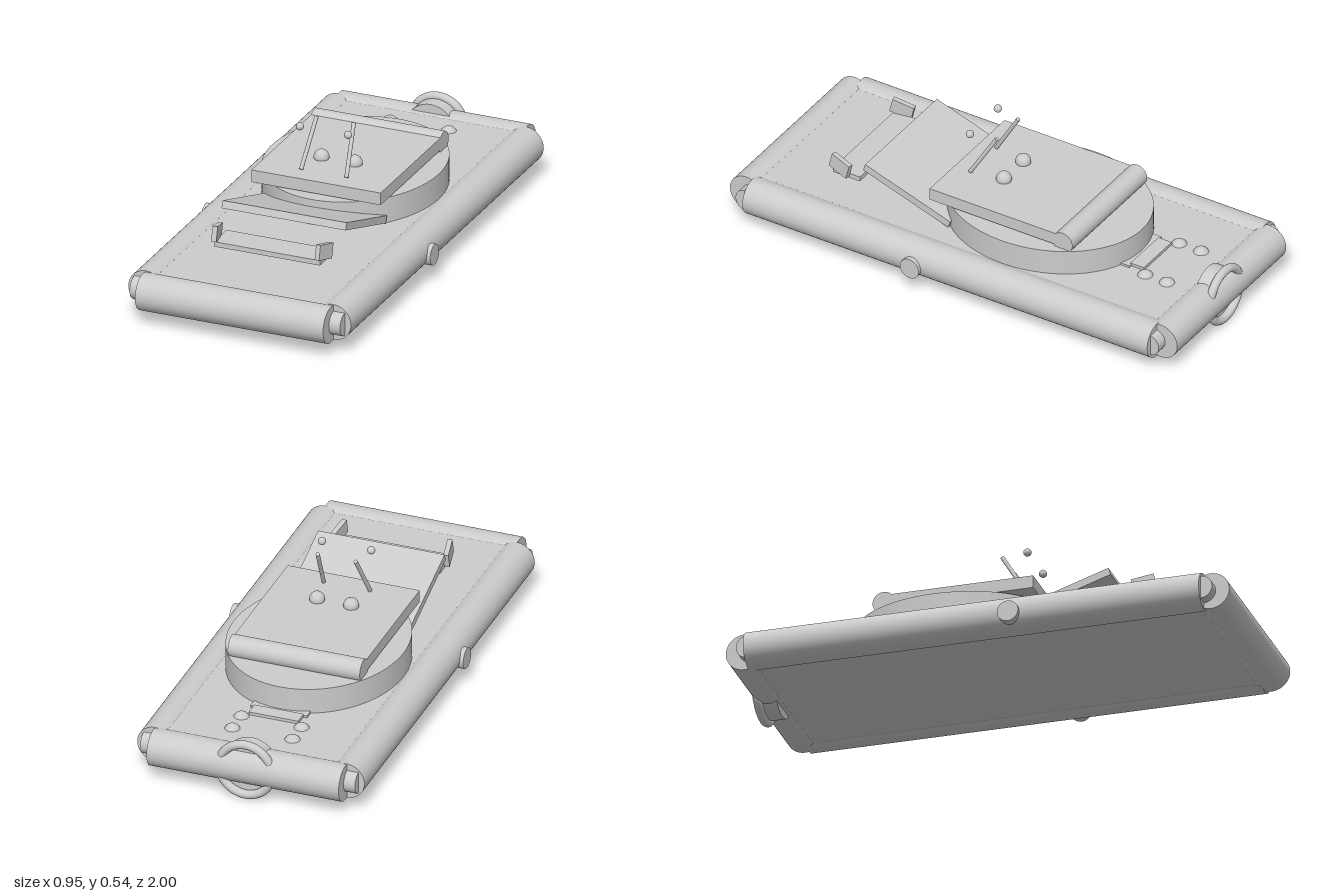
import * as THREE from 'three';

export function createModel() {
  const model = new THREE.Group();
  const mat = new THREE.MeshStandardMaterial({ color: 0xcccccc });

  const add = (name, geo, x, y, z) => {
    const m = new THREE.Mesh(geo, mat);
    m.name = name;
    m.position.set(x, y, z);
    model.add(m);
    return m;
  };
  const box = (name, w, h, d, x, y, z) => add(name, new THREE.BoxGeometry(w, h, d), x, y, z);
  const ball = (name, r, x, y, z) => add(name, new THREE.SphereGeometry(r, 32, 20), x, y, z);
  // Cylinder lying along x or z
  const rod = (name, axis, r, len, x, y, z) => {
    const g = new THREE.CylinderGeometry(r, r, len, 48);
    if (axis === 'x') g.rotateZ(Math.PI / 2);
    else g.rotateX(Math.PI / 2);
    return add(name, g, x, y, z);
  };

  const midY = 0.124;
  const tubeR = 0.0735;

  // Hull: deck framed by four tubes
  box('deck', 0.78, 0.12, 1.85, 0, midY, 0);
  rod('frontTube', 'x', tubeR, 0.78, 0, midY, 0.9265);
  rod('backTube', 'x', tubeR, 0.78, 0, midY, -0.9265);
  for (const s of [-1, 1]) {
    rod('sideTube', 'z', tubeR, 1.81, s * 0.388, midY, -0.005);
    rod('sideKnob', 'x', 0.042, 0.06, s * 0.445, 0.112, 0.145);
    for (const e of [-1, 1]) rod('cornerPin', 'x', 0.046, 0.06, s * 0.406, midY, e * 0.9);
  }

  // Oval turret base
  const base = add('turretBase', new THREE.CylinderGeometry(1, 1, 0.115, 96), 0, 0.23, -0.188);
  base.scale.set(0.345, 1, 0.411);

  // Upper slab with a roll along its back edge
  box('topSlab', 0.536, 0.05, 0.59, 0, 0.321, -0.112);
  rod('backRoll', 'x', 0.044, 0.536, 0, 0.315, -0.411);

  // Sloping panel rising toward the front
  box('frontRamp', 0.514, 0.03, 0.4, 0, 0.265, 0.293).rotation.x = -0.318;

  // Front bracket with two angled ends
  box('bracketPlate', 0.44, 0.02, 0.12, 0, 0.235, 0.585);
  for (const s of [-1, 1]) {
    const end = box('bracketEnd', 0.02, 0.06, 0.09, s * 0.222, 0.27, 0.61);
    end.rotation.set(-0.24, -s * 0.18, 0);
  }

  // Levers, knobs and floating tips on the slab
  for (const s of [-1, 1]) {
    ball('slabKnob', 0.03, s * 0.069, 0.353, -0.025);
    ball('leverTip', 0.0155, s * 0.1, 0.527, 0.108);
    const a = new THREE.Vector3(s * 0.094, 0.35, 0.11);
    const b = new THREE.Vector3(s * 0.077, 0.53, 0.002);
    const dir = b.clone().sub(a);
    const mid = a.clone().add(b).multiplyScalar(0.5);
    const lever = add('lever', new THREE.CylinderGeometry(0.008, 0.008, dir.length(), 16), mid.x, mid.y, mid.z);
    lever.quaternion.setFromUnitVectors(new THREE.Vector3(0, 1, 0), dir.normalize());
  }

  // Rear deck steps and studs
  box('rearStep', 0.23, 0.025, 0.04, 0, 0.18, -0.595);
  box('rearPad', 0.2, 0.03, 0.06, 0, 0.181, -0.64);
  for (const s of [-1, 1]) {
    for (const z of [-0.69, -0.787]) ball('deckStud', 0.033, s * 0.122, 0.17, z);
  }

  // Stern drum and ring
  rod('sternDrum', 'z', 0.102, 0.06, 0, midY, -0.925);
  add('sternRing', new THREE.TorusGeometry(0.107, 0.017, 20, 64), 0, midY, -0.968);

  return model;
}
